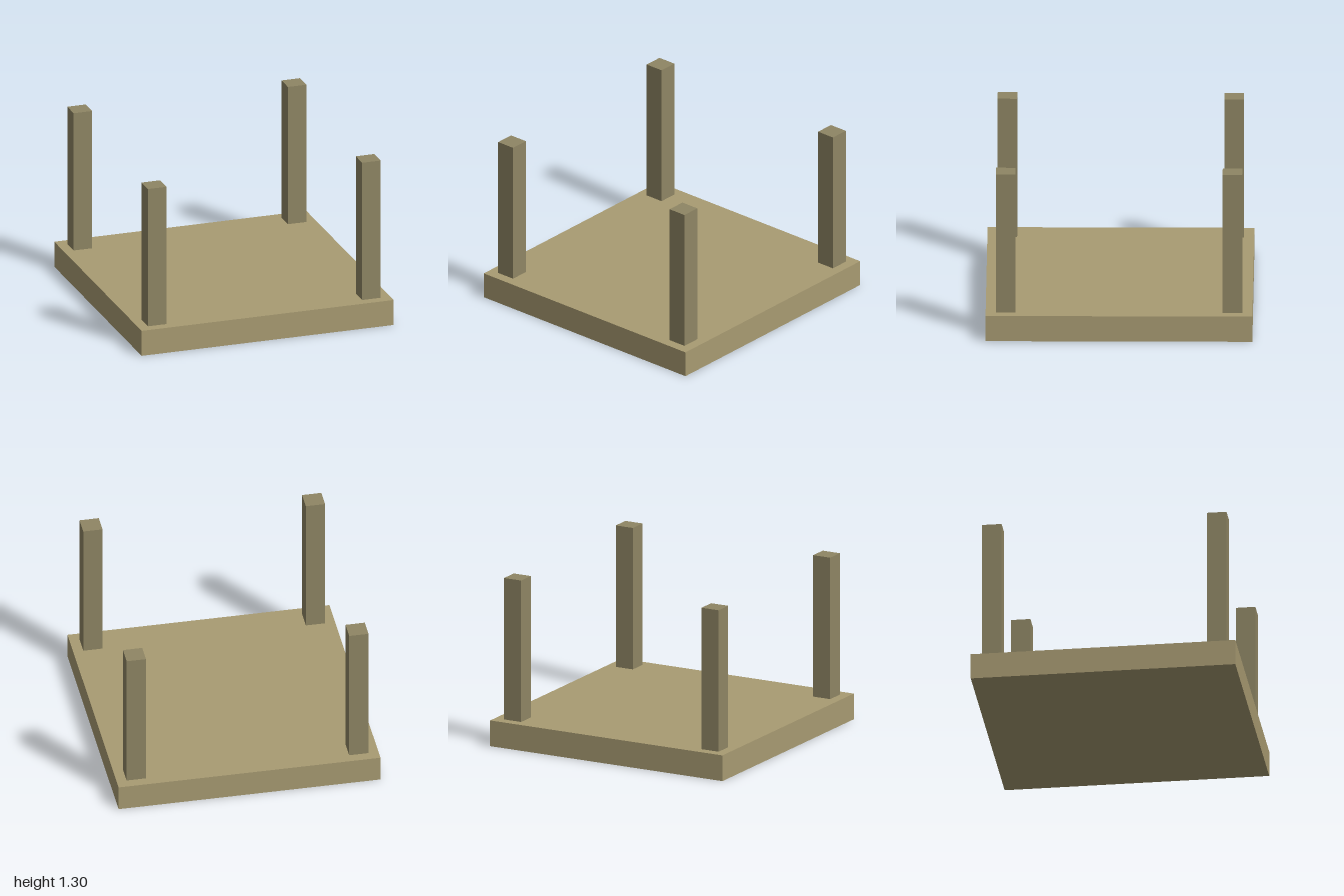
import * as THREE from 'three';

export function createModel() {
  const model = new THREE.Group();
  model.name = 'upturnedTable';

  const slabMaterial = new THREE.MeshStandardMaterial({ color: 0xa89b72 });
  const legMaterial = new THREE.MeshStandardMaterial({ color: 0x8f8664 });

  // Square table top lying on the ground
  const slabHeight = 0.2;
  const slab = new THREE.Mesh(new THREE.BoxGeometry(2, slabHeight, 2), slabMaterial);
  slab.name = 'tableTop';
  slab.position.y = slabHeight / 2;
  model.add(slab);

  // Four square legs, set in from the corners
  const legHeight = 1.1, legWidth = 0.147, inset = 0.85;
  const legGeometry = new THREE.BoxGeometry(legWidth, legHeight, legWidth);
  for (const [zName, z] of [['front', inset], ['back', -inset]]) {
    for (const [xName, x] of [['Left', inset], ['Right', -inset]]) {
      const leg = new THREE.Mesh(legGeometry, legMaterial);
      leg.name = `${zName}${xName}Leg`;
      leg.position.set(x, slabHeight + legHeight / 2, z);
      model.add(leg);
    }
  }

  return model;
}
